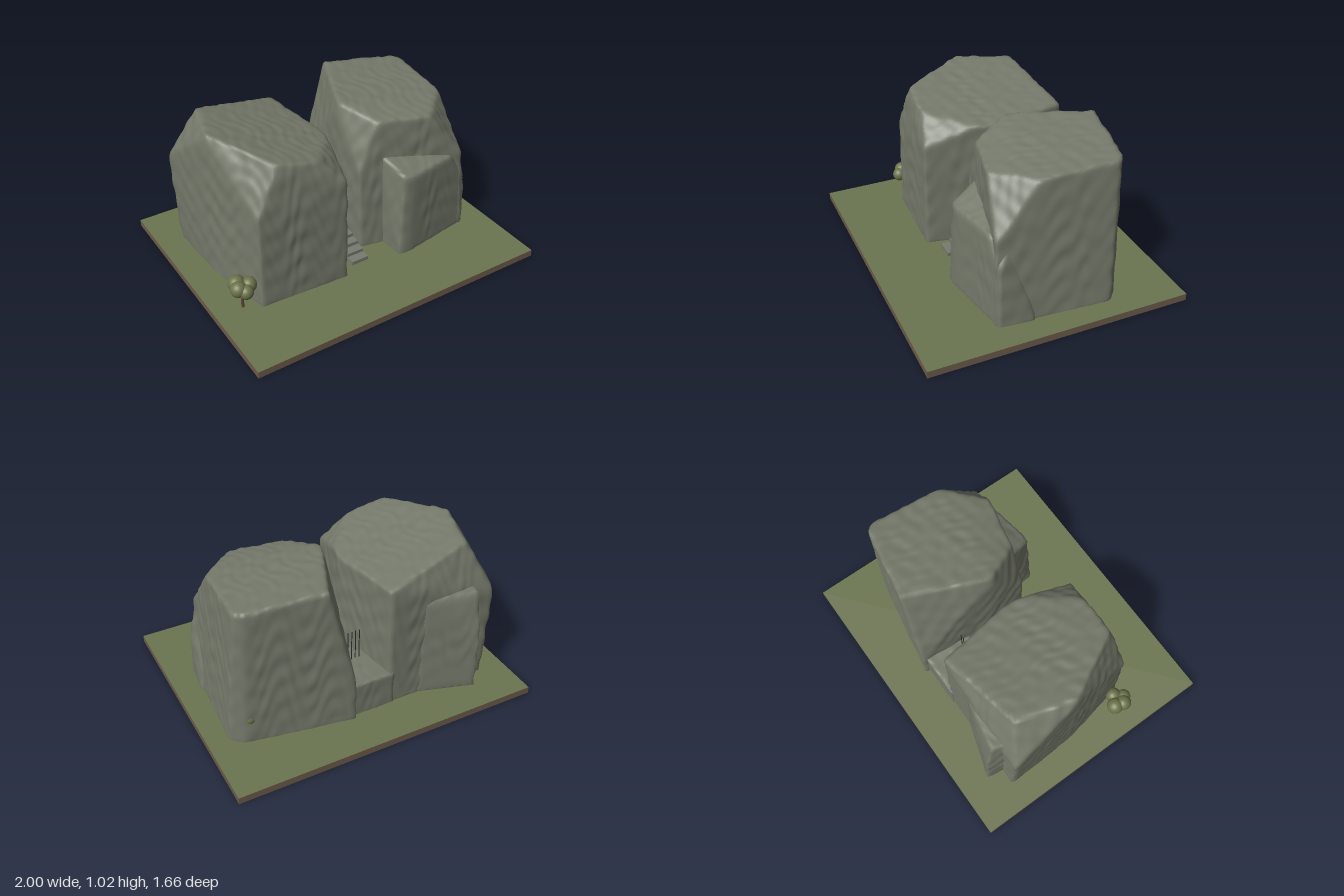
import * as THREE from 'three';
import { ConvexGeometry } from 'three/addons/geometries/ConvexGeometry.js';
import { mergeVertices } from 'three/addons/utils/BufferGeometryUtils.js';

const V = (a) => new THREE.Vector3(...a);
const mat = (name, color) => {
  const m = new THREE.MeshStandardMaterial({ color });
  m.name = name;
  return m;
};

// Planes (unit normal and distance from the centre) of the hull around the corners
function hullPlanes(corners, centre) {
  const pos = new ConvexGeometry(corners).getAttribute('position');
  const planes = [];
  for (let i = 0; i < pos.count; i += 3) {
    const [a, b, c] = [0, 1, 2].map((k) => new THREE.Vector3().fromBufferAttribute(pos, i + k));
    const n = b.clone().sub(a).cross(c.clone().sub(a));
    if (n.length() < 1e-5) continue;
    n.normalize();
    const d = n.dot(a.clone().sub(centre));
    if (d > 1e-4 && !planes.some((p) => p.n.dot(n) > 0.997)) planes.push({ n, d });
  }
  return planes;
}

// Weathered boulder: a fine sphere pulled onto a hull with soft edges and gentle bumps
function rockGeometry(points, detail, bump = 0.0035) {
  const corners = points.map(V);
  const centre = new THREE.Vector3();
  corners.forEach((p) => centre.addScaledVector(p, 1 / corners.length));
  const planes = hullPlanes(corners, centre);
  let geo = new THREE.IcosahedronGeometry(1, detail);
  geo.deleteAttribute('normal');
  geo.deleteAttribute('uv');
  geo = mergeVertices(geo, 1e-5);
  const pos = geo.getAttribute('position');
  const v = new THREE.Vector3();
  for (let i = 0; i < pos.count; i++) {
    v.fromBufferAttribute(pos, i).normalize();
    let sum = 0;
    for (const { n, d } of planes) sum += Math.max(0, n.dot(v) / d) ** 90;
    const r = sum ** (-1 / 90);
    const x = centre.x + v.x * r, y = centre.y + v.y * r, z = centre.z + v.z * r;
    const noise = Math.sin(31 * x + 9 * y + 3 * Math.sin(17 * z)) * Math.sin(27 * y + 4 * Math.sin(19 * x))
      + 0.7 * Math.sin(43 * z + 13 * x) * Math.sin(39 * y - 21 * z);
    v.multiplyScalar(r + bump * noise).add(centre);
    pos.setXYZ(i, v.x, Math.max(v.y, 0.02), v.z);
  }
  geo.computeVertexNormals();
  return geo;
}

export function createModel() {
  const root = new THREE.Group();
  const stone = mat('stone', 0x75796a);
  const stepStone = mat('step stone', 0x777a6e);
  const grass = mat('grass', 0x6b7550);
  const earth = mat('earth', 0x6d5b49);
  const iron = mat('dark iron', 0x2b2c2a);
  const leaf = mat('leaf', 0x6c7349);
  const bark = mat('bark', 0x5f4636);

  const add = (name, geo, material, x = 0, y = 0, z = 0, parent = root) => {
    const m = new THREE.Mesh(geo, material);
    m.name = name;
    m.position.set(x, y, z);
    parent.add(m);
    return m;
  };

  // Ground slab: grass on top, earth elsewhere
  add('ground', new THREE.BoxGeometry(2, 0.045, 1.66), [earth, earth, grass, earth, earth, earth], 0, 0.0225, 0);

  // Large boulder on the right-hand side
  add('rightBoulder', rockGeometry([
    [-0.83, 0.02, -0.54], [-0.14, 0.02, -0.53], [-0.06, 0.02, 0], [-0.14, 0.02, 0.41],
    [-0.7, 0.02, 0.38], [-0.81, 0.02, -0.05],
    [-0.86, 0.68, -0.54], [-0.72, 0.66, 0.37], [-0.14, 0.74, 0.4],
    [-0.81, 1.0, -0.08], [-0.57, 0.96, 0.34], [-0.3, 0.905, 0.35], [-0.075, 0.855, 0.08],
    [-0.13, 0.875, -0.53], [-0.7, 0.985, -0.44],
  ], 40), stone);

  // Large boulder on the left-hand side
  add('leftBoulder', rockGeometry([
    [0.11, 0.02, -0.57], [0.8, 0.02, -0.44], [0.87, 0.02, -0.38], [0.82, 0.02, 0.32],
    [0.09, 0.02, 0.21], [0.07, 0.02, -0.1],
    [0.11, 0.31, -0.57], [0.08, 0.6, 0.2], [0.78, 0.58, 0.33],
    [0.075, 1.0, -0.05], [0.28, 1.015, -0.54], [0.79, 0.955, -0.43], [0.775, 0.935, 0.05],
    [0.54, 0.91, 0.28], [0.2, 0.93, 0.2],
  ], 40), stone);

  // Split slabs leaning on the boulders
  add('frontSlab', rockGeometry([
    [0.24, 0.02, 0.15], [0.26, 0.02, 0.41], [0.33, 0.02, 0.415], [0.83, 0.02, 0.33], [0.85, 0.02, 0.1],
    [0.22, 0.71, 0.18], [0.29, 0.6, 0.39], [0.68, 0.6, 0.34], [0.82, 0.4, 0.32],
    [0.78, 0.56, 0.25], [0.7, 0.6, 0.15],
  ], 24, 0.003), stone);
  add('backSlab', rockGeometry([
    [-0.74, 0.02, -0.4], [-0.71, 0.02, -0.63], [-0.34, 0.02, -0.53], [-0.34, 0.02, -0.4],
    [-0.75, 0.4, -0.5], [-0.71, 0.4, -0.645], [-0.7, 0.74, -0.6], [-0.73, 0.74, -0.5],
    [-0.36, 0.72, -0.53], [-0.36, 0.72, -0.4],
  ], 22, 0.003), stone);

  // Low ledge closing the gap at the back
  add('ledge', rockGeometry([-0.17, 0.16].flatMap((x) => [
    [x, 0.02, -0.54], [x, 0.02, -0.22], [x, 0.275, -0.54], [x, 0.275, -0.22],
  ]), 16, 0.002), stone);

  // Stairs climbing through the gap
  const stairs = new THREE.Group();
  stairs.name = 'stairs';
  root.add(stairs);
  const count = 10, depth = 0.059;
  for (let i = 0; i < count; i++) {
    const top = 0.07 + i * 0.0225;
    add('step', new THREE.BoxGeometry(0.12, top - 0.03, depth), stepStone,
      0, (top + 0.03) / 2, 0.34 - depth * (i + 0.5), stairs);
  }

  // Gate of upright bars on the landing
  const gate = new THREE.Group();
  gate.name = 'gate';
  root.add(gate);
  for (let i = -2; i <= 2; i++) {
    add('bar', new THREE.CylinderGeometry(0.003, 0.003, 0.22, 8), iron, i * 0.0265, 0.375, -0.3, gate);
  }

  // Small trees made of leaf clumps on a thin trunk
  const tree = (name, x, z, clumps) => {
    const g = new THREE.Group();
    g.name = name;
    g.position.set(x, 0.04, z);
    root.add(g);
    add('trunk', new THREE.CylinderGeometry(0.007, 0.01, 0.16, 8), bark, 0, 0.08, 0, g);
    for (const [cx, cy, cz, r] of clumps) {
      add('foliage', new THREE.SphereGeometry(r, 20, 14), leaf, cx, cy, cz, g);
    }
  };
  tree('frontTree', -0.82, 0.31, [
    [-0.015, 0.165, -0.035, 0.053], [-0.03, 0.165, 0.02, 0.05], [0.005, 0.15, 0.05, 0.045], [0.05, 0.155, 0, 0.048],
  ]);
  tree('backTree', 0.73, -0.41, [[0.015, 0.165, -0.01, 0.042], [-0.03, 0.15, -0.018, 0.038]]);

  return root;
}
